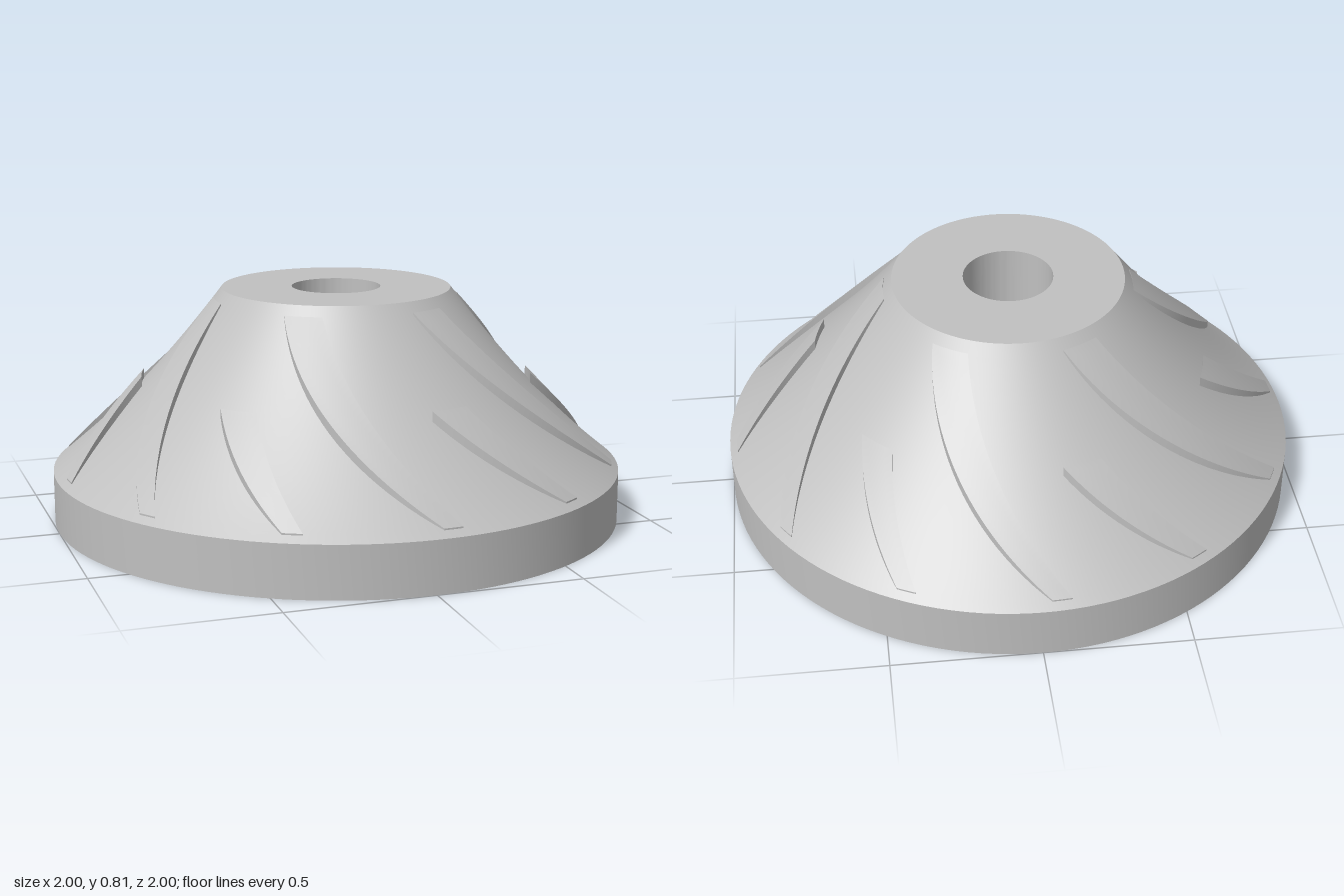
import * as THREE from 'three';
import { toCreasedNormals } from 'three/addons/utils/BufferGeometryUtils.js';

const RIM = 1, RIM_Y = 0.18, TOP_R = 0.4, TOP_Y = 0.81, BORE = 0.155;

// Height of the flared cone at radius r, hollowed by sag halfway
function coneY(r, sag) {
  const t = (r - TOP_R) / (RIM - TOP_R);
  return TOP_Y + (RIM_Y - TOP_Y) * t - 4 * t * (1 - t) * sag;
}
const hubY = (r) => coneY(r, 0.04);
const bladeY = (r) => coneY(r, 0.006);

// Swept blade edges: angle in degrees from +z towards +x
const leftEdge = (r) => -29 + (r - 0.59) * 80;
const rightEdge = (r) => -21 + (r - 0.49) * 55;

// Swept pad from radius r0 to r1, rooted just below the hub surface
function bladeGeometry(r0, r1) {
  const steps = 24, across = 4, rows = [];
  const addRow = (r, raised) => {
    const row = [];
    const point = (k, y) => {
      const a = THREE.MathUtils.degToRad(THREE.MathUtils.lerp(leftEdge(r), rightEdge(r), k));
      row.push([r * Math.sin(a), y, r * Math.cos(a)]);
    };
    const base = hubY(r) - 0.01;
    point(0, base);
    for (let j = 0; j <= across; j++) point(j / across, raised ? bladeY(r) : base);
    point(1, base);
    rows.push(row);
  };
  addRow(r0, false); // inner end wall
  for (let i = 0; i <= steps; i++) addRow(r0 + (r1 - r0) * i / steps, true);
  addRow(r1, false); // outer end wall

  const positions = [];
  for (let i = 0; i < rows.length - 1; i++) {
    for (let j = 0; j < rows[i].length - 1; j++) {
      const a = rows[i][j], b = rows[i + 1][j], c = rows[i + 1][j + 1], d = rows[i][j + 1];
      positions.push(...a, ...b, ...c, ...a, ...c, ...d);
    }
  }
  const geometry = new THREE.BufferGeometry();
  geometry.setAttribute('position', new THREE.Float32BufferAttribute(positions, 3));
  return toCreasedNormals(geometry, 0.5);
}

export function createModel() {
  const metal = new THREE.MeshStandardMaterial({ color: 0xc0c0c0 });
  metal.name = 'grey metal';
  const model = new THREE.Group();
  model.name = 'impeller';

  // Hub: rim disc, concave flank, flat top and through bore
  const profile = [new THREE.Vector2(BORE, 0), new THREE.Vector2(RIM, 0)];
  for (let i = 0; i <= 20; i++) {
    const r = RIM + (TOP_R - RIM) * i / 20;
    profile.push(new THREE.Vector2(r, hubY(r)));
  }
  profile.push(new THREE.Vector2(BORE, TOP_Y), new THREE.Vector2(BORE, 0));
  const hub = new THREE.Mesh(toCreasedNormals(new THREE.LatheGeometry(profile, 128), 0.4), metal);
  hub.name = 'hub';
  model.add(hub);

  // Six full blades alternating with six shorter splitter blades
  const fullBlade = bladeGeometry(0.43, 0.975);
  const splitter = bladeGeometry(0.685, 0.975);
  for (let i = 0; i < 12; i++) {
    const isFull = i % 2 === 0;
    const blade = new THREE.Mesh(isFull ? fullBlade : splitter, metal);
    blade.name = isFull ? 'fullBlade' : 'splitterBlade';
    blade.rotation.y = i * Math.PI / 6;
    model.add(blade);
  }
  return model;
}
